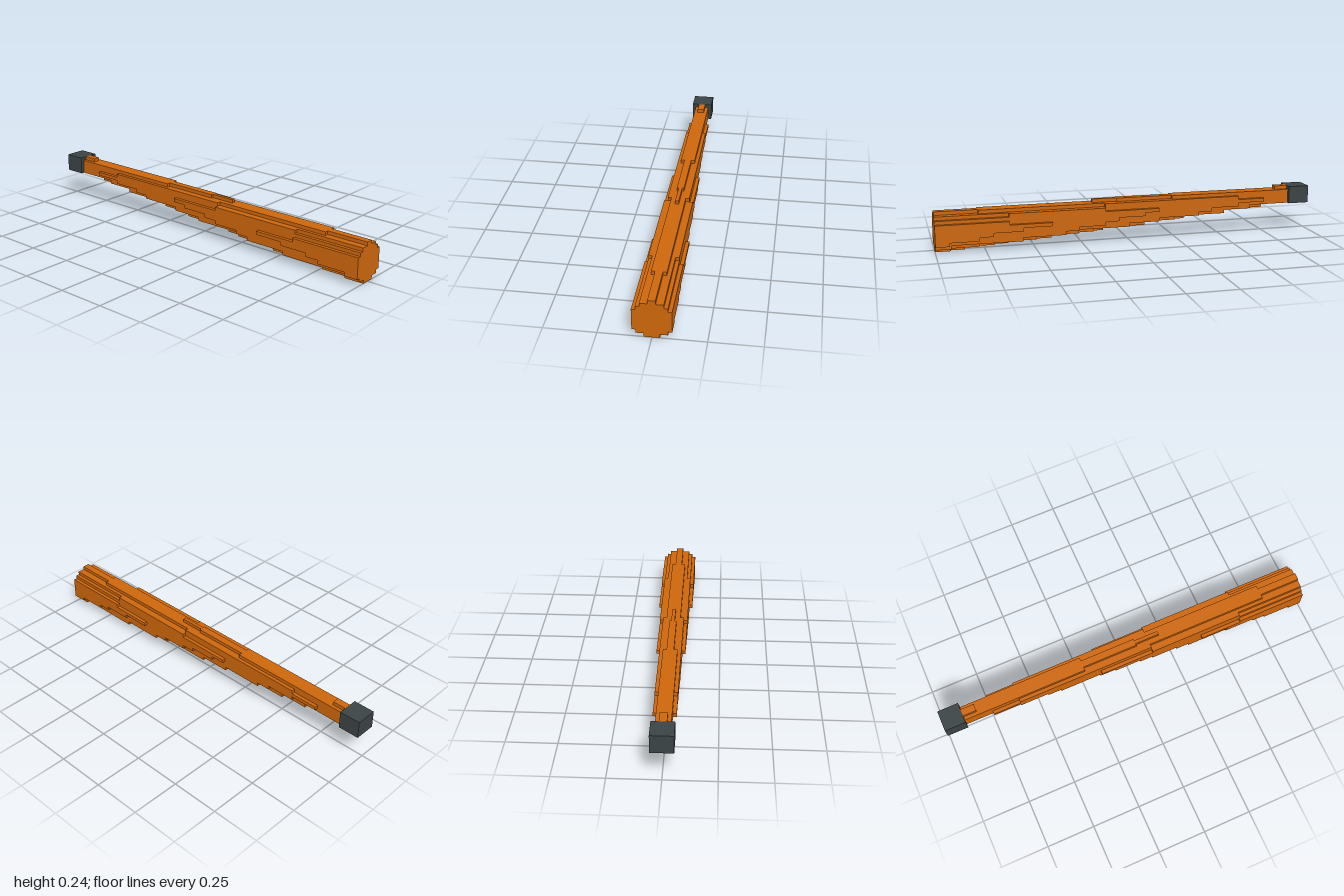
import * as THREE from 'three';

const V = 2 / 109; // size of one block

// One entry per block layer, bottom to top: steps of [start x, half width in blocks], then the end x
const LAYERS = [
  { steps: [[0.85, 1], [0.92, 2]], end: 1 },
  { steps: [[0.63, 1], [0.7, 2], [0.78, 3], [0.92, 4]], end: 1 },
  { steps: [[0.41, 2], [0.49, 3], [0.56, 4], [0.93, 5]], end: 1 },
  { steps: [[0.135, 1], [0.19, 2], [0.27, 3], [0.34, 4], [0.78, 5]], end: 1 },
  { steps: [[-0.085, 2], [0.0, 3], [0.27, 4], [0.71, 5]], end: 1 },
  { steps: [[-0.305, 1], [-0.25, 2], [-0.16, 3], [0.13, 4], [0.56, 5]], end: 1 },
  { steps: [[-0.525, 2], [-0.38, 3], [0.06, 4], [0.41, 5]], end: 1 },
  { steps: [[-0.745, 1], [-0.67, 2], [-0.45, 3], [-0.08, 4], [0.63, 5]], end: 1 },
  { steps: [[-0.89, 2], [-0.6, 3], [-0.155, 4]], end: 1 },
  { steps: [[-0.89, 2], [-0.745, 3], [0.13, 4], [0.63, 3]], end: 1 },
  { steps: [[-0.89, 2], [-0.6, 3], [0.13, 2], [0.78, 1]], end: 1 },
  { steps: [[-0.89, 2], [-0.235, 1], [0.06, 0.5]], end: 0.19 },
  { steps: [[-0.89, 1]], end: -0.82 },
];

// Stepped, mirrored plan outline of one layer, extruded one block high
function layerGeometry({ steps, end }) {
  const side = [];
  steps.forEach(([x, w], i) => {
    const next = i + 1 < steps.length ? steps[i + 1][0] : end;
    side.push([x, w * V], [next, w * V]);
  });
  const outline = [
    ...side.map(([x, z]) => new THREE.Vector2(x, -z)),
    ...side.reverse().map(([x, z]) => new THREE.Vector2(x, z)),
  ];
  const geometry = new THREE.ExtrudeGeometry(new THREE.Shape(outline), { depth: V, bevelEnabled: false });
  return geometry.rotateX(-Math.PI / 2);
}

export function createModel() {
  const model = new THREE.Group();
  model.name = 'taperedBlockRod';
  const orange = new THREE.MeshStandardMaterial({ color: 0xcc660c });
  orange.name = 'orange';
  const darkGrey = new THREE.MeshStandardMaterial({ color: 0x3b4344 });
  darkGrey.name = 'darkGrey';

  // Tapered shaft, layer by layer
  const shaft = new THREE.Group();
  shaft.name = 'shaft';
  LAYERS.forEach((layer, i) => {
    const mesh = new THREE.Mesh(layerGeometry(layer), orange);
    mesh.name = 'shaftLayer' + (i + 1);
    mesh.position.y = i * V;
    shaft.add(mesh);
  });
  model.add(shaft);

  // Dark cap on the narrow end
  const cap = new THREE.Mesh(new THREE.BoxGeometry(6 * V, 5 * V, 6 * V), darkGrey);
  cap.name = 'endCap';
  cap.position.set(-1 + 3 * V, 10.5 * V, 0);
  model.add(cap);

  return model;
}
